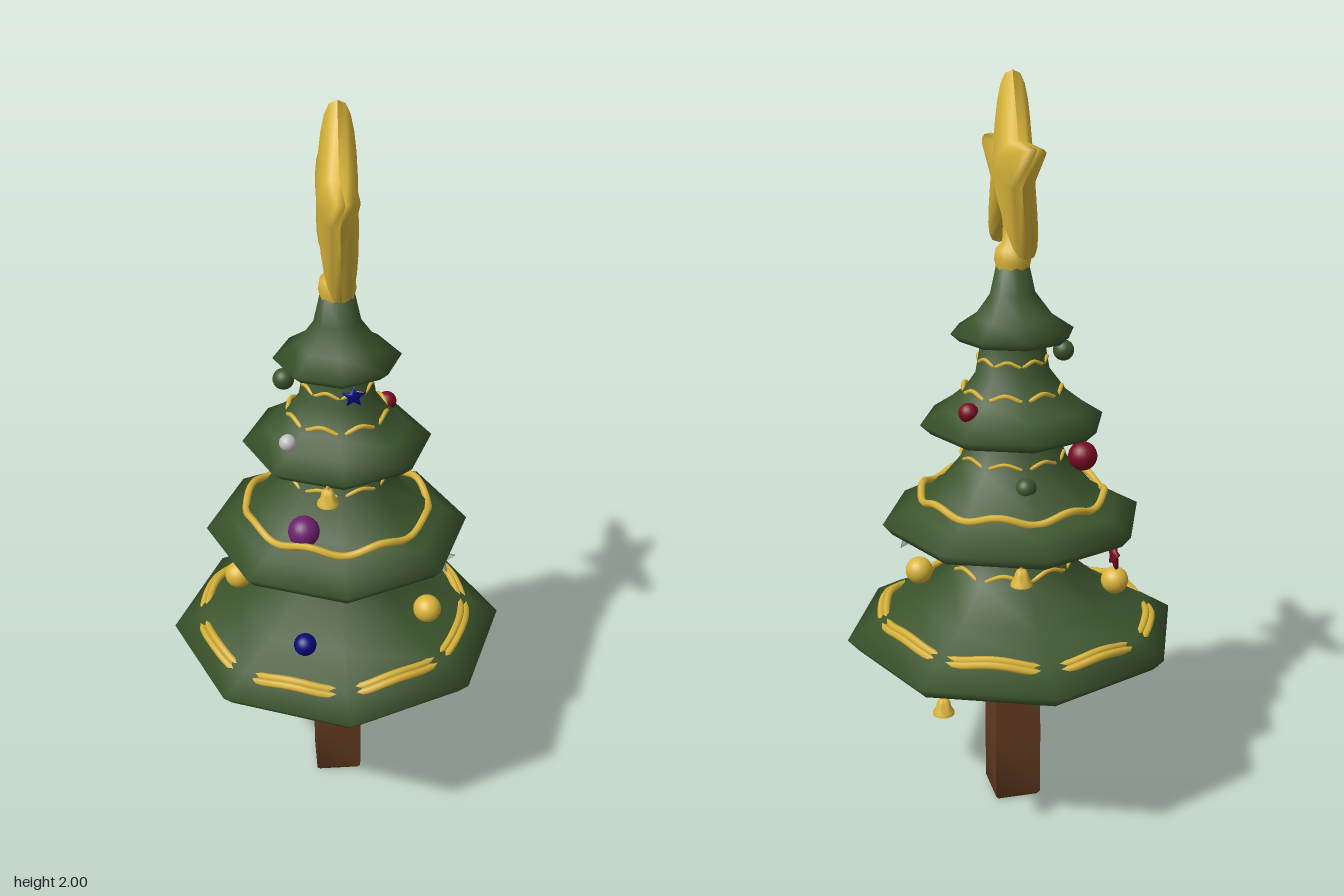
import * as THREE from 'three';
import { toCreasedNormals, mergeVertices, mergeGeometries } from 'three/addons/utils/BufferGeometryUtils.js';

const material = (name, color) => new THREE.MeshStandardMaterial({ name, color });

// Turned shape with a given number of sides; profile is [radius, height] pairs, bottom to top
function turned(profile, sides, crease = 0.8) {
  const geo = new THREE.LatheGeometry(profile.map(([r, y]) => new THREE.Vector2(r, y)), sides);
  return toCreasedNormals(geo, crease);
}

// Puffy five-pointed star facing z: two domes pulled out to five tips, smooth up to the rim
function puffyStar(outer, inner, depth) {
  const halves = [0, Math.PI / 2].map((start) => {
    const dome = new THREE.SphereGeometry(1, 10, 6, Math.PI / 2, Math.PI * 2, start, Math.PI / 2);
    dome.rotateX(Math.PI / 2);
    const p = dome.attributes.position;
    for (let i = 0; i < p.count; i++) {
      const x = p.getX(i), y = p.getY(i), z = p.getZ(i);
      const step = Math.round(Math.atan2(x, y) / (Math.PI / 5));
      const r = step % 2 === 0 ? outer : inner;
      p.setXYZ(i, x * r, y * r, Math.sign(z) * Math.pow(Math.abs(z), 0.7) * depth);
    }
    dome.deleteAttribute('uv');
    dome.deleteAttribute('normal');
    const smooth = mergeVertices(dome, 1e-5);
    smooth.computeVertexNormals();
    return smooth;
  });
  return mergeGeometries(halves);
}

// Closed garland that sags at the eight corners of a tier
function garlandGeometry({ y, r, wave, tube, shift = 0, tilt = 0 }) {
  const points = [];
  for (let i = 0; i < 64; i++) {
    const a = (i / 64) * Math.PI * 2;
    points.push(new THREE.Vector3(
      r * Math.sin(a) + shift, y - wave * Math.cos(8 * a) + tilt * Math.sin(a), r * Math.cos(a)));
  }
  return new THREE.TubeGeometry(new THREE.CatmullRomCurve3(points, true), 128, tube, 6, true);
}

export function createModel() {
  const group = new THREE.Group();
  group.name = 'christmasTree';
  const mats = {
    green: material('pine green', 0x3b542c),
    gold: material('gold', 0xdab53b),
    brown: material('bark brown', 0x623b20),
    red: material('red', 0x7a0a22),
    purple: material('purple', 0x6e1f6e),
    blue: material('blue', 0x08087a),
    silver: material('silver', 0xc0c0c0),
    maroon: material('dark maroon', 0x2a0c0e),
  };
  const add = (name, geo, color, x = 0, y = 0, z = 0) => {
    const mesh = new THREE.Mesh(geo, mats[color]);
    mesh.name = name;
    mesh.position.set(x, y, z);
    group.add(mesh);
    return mesh;
  };

  // Square trunk with a bevelled foot
  add('trunk', turned([[0, 0], [0.08, 0], [0.091, 0.012], [0.091, 0.2], [0.086, 0.54]], 4), 'brown')
    .rotation.y = Math.PI / 4;

  // Four flared eight-sided tiers, each hollowed a little underneath
  const tiers = [
    [[0, 0.54], [0.1, 0.534], [0.43, 0.487], [0.46, 0.52], [0.38, 0.565], [0.27, 0.615], [0.175, 0.70], [0.135, 0.81], [0.12, 0.87]],
    [[0, 0.85], [0.1, 0.846], [0.33, 0.815], [0.355, 0.845], [0.29, 0.88], [0.22, 0.92], [0.15, 1.0], [0.115, 1.09], [0.1, 1.13]],
    [[0, 1.11], [0.08, 1.107], [0.22, 1.085], [0.249, 1.112], [0.19, 1.15], [0.145, 1.185], [0.1, 1.245], [0.085, 1.33], [0.075, 1.37]],
    [[0, 1.345], [0.06, 1.342], [0.14, 1.328], [0.165, 1.35], [0.105, 1.39], [0.06, 1.45], [0.042, 1.53], [0, 1.54]],
  ];
  tiers.forEach((profile, i) => add(`tier${i + 1}`, turned(profile, 8, Math.PI), 'green'));

  // Garlands, with a double strand around the lowest tier
  const garlands = [
    { y: 0.568, r: 0.358, wave: 0.01, tube: 0.01, shift: -0.01, tilt: 0.009 },
    { y: 0.56, r: 0.373, wave: 0.01, tube: 0.01, shift: -0.01, tilt: 0.009 },
    { y: 0.72, r: 0.162, wave: 0.01, tube: 0.006, tilt: -0.008 },
    { y: 0.912, r: 0.246, wave: 0.01, tube: 0.01 },
    { y: 1.02, r: 0.136, wave: 0.007, tube: 0.005 },
    { y: 1.2, r: 0.129, wave: 0.008, tube: 0.006 },
    { y: 1.28, r: 0.09, wave: 0.006, tube: 0.005 },
  ];
  garlands.forEach((g, i) => add(`garland${i + 1}`, garlandGeometry(g), 'gold'));

  // Topper: collar, stem and a star facing sideways
  add('topperCollar', turned([[0, 1.505], [0.042, 1.51], [0.048, 1.535], [0.044, 1.562], [0.027, 1.58],
    [0.025, 1.62], [0.03, 1.68]], 16, 1.0), 'gold');
  add('topperStar', puffyStar(0.245, 0.1, 0.05), 'gold', 0, 1.755, 0).rotation.y = Math.PI / 2;

  // Baubles: colour, radius, x, y, z
  const baubles = [
    ['gold', 0.038, 0.235, 0.645, 0.14],
    ['gold', 0.038, -0.275, 0.645, -0.06],
    ['blue', 0.03, -0.105, 0.635, 0.26],
    ['purple', 0.041, -0.1, 0.94, 0.18],
    ['red', 0.038, -0.148, 1.045, -0.152],
    ['red', 0.026, 0.14, 1.165, -0.095],
    ['green', 0.028, -0.138, 1.29, 0.0],
    ['green', 0.028, 0.005, 0.97, -0.157],
    ['silver', 0.022, -0.135, 1.17, 0.12],
    ['silver', 0.029, 0.305, 0.457, 0.205],
  ];
  for (const [color, r, x, y, z] of baubles) {
    add(`${color}Bauble`, new THREE.SphereGeometry(r, 20, 14), color, x, y, z);
  }
  add('baubleCap', new THREE.CylinderGeometry(0.006, 0.006, 0.03, 8), 'silver', 0.305, 0.491, 0.205);

  // Bells hanging under the tiers
  const bell = turned([[0, -0.03], [0.007, -0.027], [0.01, -0.021], [0.028, -0.021], [0.027, -0.014],
    [0.02, -0.004], [0.017, 0.01], [0.012, 0.02], [0.005, 0.024], [0.005, 0.036], [0, 0.037]], 16);
  for (const [x, y, z] of [[0.26, 0.46, -0.31], [-0.04, 1.06, 0.21], [0.055, 0.79, -0.306]]) {
    add('bell', bell, 'gold', x, y, z);
  }

  // Hanging stars: colour, size, x, y, z, turn
  const stars = [
    ['silver', 0.05, 0.265, 0.775, 0.09, -0.25],
    ['maroon', 0.052, -0.365, 0.435, -0.1, -0.6],
    ['red', 0.04, -0.22, 0.785, -0.21, Math.PI / 2],
    ['blue', 0.031, 0.03, 1.305, 0.14, 0],
  ];
  for (const [color, size, x, y, z, turn] of stars) {
    add(`${color}Star`, puffyStar(size, size * 0.45, size * 0.24), color, x, y, z).rotation.y = turn;
  }

  return group;
}
